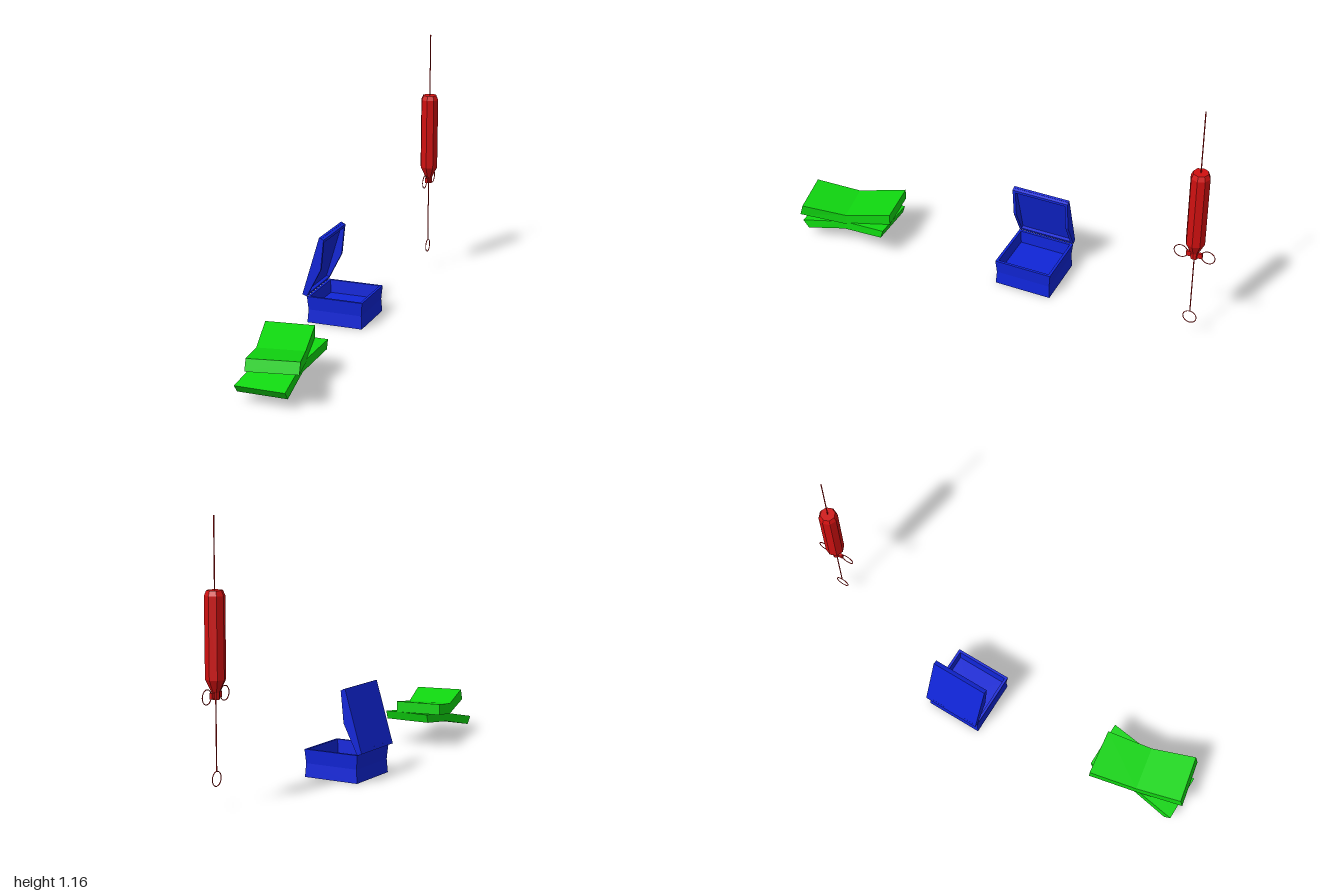
import * as THREE from 'three';

const paint = (color) => new THREE.MeshStandardMaterial({ color, flatShading: true, side: THREE.DoubleSide });
const red = paint(0xd01010), blue = paint(0x1025d8), green = paint(0x10d810);

function add(parent, name, geometry, material, x = 0, y = 0, z = 0) {
  const mesh = new THREE.Mesh(geometry, material);
  mesh.name = name;
  mesh.position.set(x, y, z);
  parent.add(mesh);
  return mesh;
}

function addGroup(parent, name) {
  const group = new THREE.Group();
  group.name = name;
  parent.add(group);
  return group;
}

// Bent slab: one cross-section each for back, middle and front
// top / bottom = height, left / right = [x, z], inset = z shift of the lower edge
function bentSlab(sections) {
  const geometry = new THREE.BoxGeometry(2, 2, 2, 1, 1, 2);
  const p = geometry.attributes.position;
  for (let i = 0; i < p.count; i++) {
    const s = sections[Math.round(p.getZ(i)) + 1];
    const [x, z] = p.getX(i) < 0 ? s.left : s.right;
    const upper = p.getY(i) > 0;
    p.setXYZ(i, x, upper ? s.top : s.bottom, upper ? z : z + (s.inset || 0));
  }
  geometry.computeVertexNormals();
  return geometry;
}

// Profile in x and y, extruded from z0 to z1
function prism(points, z0, z1) {
  const shape = new THREE.Shape(points.map(([x, y]) => new THREE.Vector2(x, y)));
  return new THREE.ExtrudeGeometry(shape, { depth: z1 - z0, bevelEnabled: false }).translate(0, 0, z0);
}

function createFloat() {
  const float = new THREE.Group();
  float.name = 'float';
  // Eight-sided body with a tapered neck and chamfered cap
  const profile = [[0, 0.44], [0.017, 0.44], [0.017, 0.468], [0.042, 0.52], [0.042, 0.85], [0.033, 0.871], [0, 0.871]]
    .map(([r, y]) => new THREE.Vector2(r, y));
  add(float, 'floatBody', new THREE.LatheGeometry(profile, 8), red);
  // Rod running through the body
  add(float, 'rod', new THREE.CylinderGeometry(0.0025, 0.0025, 1.01, 6), red, 0, 0.657, 0);
  add(float, 'crossBar', new THREE.BoxGeometry(0.012, 0.024, 0.07), red, 0, 0.457, 0);
  // Wire rings at the sides and below
  for (const [name, y, z] of [['frontRing', 0.457, 0.06], ['backRing', 0.457, -0.06], ['bottomRing', 0.121, 0]]) {
    add(float, name, new THREE.TorusGeometry(0.03, 0.002, 6, 20), red, 0, y, z).rotation.y = Math.PI / 2;
  }
  float.position.set(0.086, 0, -0.905);
  return float;
}

function createCase() {
  const box = new THREE.Group();
  box.name = 'openCase';
  // Hollow tray with a slight waist, as a four-sided lathe
  const profile = [[0, 0], [0.99, 0], [0.96, 0.06], [1, 0.122], [0.91, 0.122], [0.89, 0.062], [0, 0.062]]
    .map(([r, y]) => new THREE.Vector2(r * Math.SQRT2, y));
  add(box, 'tray', new THREE.LatheGeometry(profile, 4, Math.PI / 4), blue, -0.041, 0, -0.122).scale.set(0.131, 1, 0.133);

  // Raised lid: back plate, wedge-shaped cheeks and end lips
  const lid = addGroup(box, 'lid');
  const back = -0.255, front = 0.011, wall = 0.013;
  const outerLow = [-0.194, 0.13], outerTop = [-0.113, 0.402];
  const innerTop = [-0.092, 0.393], bend = [-0.106, 0.253], innerLow = [-0.173, 0.122];
  add(lid, 'lidPlate', prism([outerLow, [-0.184, 0.127], [-0.103, 0.399], outerTop], back, front), blue);
  const cheek = [outerLow, innerLow, bend, innerTop, outerTop];
  add(lid, 'backCheek', prism(cheek, back, back + wall), blue);
  add(lid, 'frontCheek', prism(cheek, front - wall, front), blue);
  add(lid, 'topLip', prism([outerTop, [-0.117, 0.388], [-0.093, 0.38], innerTop], back, front), blue);
  add(lid, 'hingeLip', prism([outerLow, innerLow, [-0.166, 0.136], [-0.19, 0.144]], back, front), blue);
  return box;
}

function createSlabs() {
  const slabs = new THREE.Group();
  slabs.name = 'crossedSlabs';
  add(slabs, 'upperSlab', bentSlab([
    { left: [-0.124, 0.573], right: [0.087, 0.545], top: 0.205, bottom: 0.155 },
    { left: [-0.069, 0.785], right: [0.131, 0.75], top: 0.172, bottom: 0.123 },
    { left: [-0.024, 0.985], right: [0.19, 0.942], top: 0.205, bottom: 0.155, inset: 0.014 },
  ]), green);
  add(slabs, 'lowerSlab', bentSlab([
    { left: [-0.07, 0.55], right: [0.146, 0.55], top: 0.154, bottom: 0.115, inset: 0.012 },
    { left: [-0.058, 0.765], right: [0.124, 0.765], top: 0.128, bottom: 0.088 },
    { left: [-0.08, 0.978], right: [0.138, 0.978], top: 0.08, bottom: 0.045, inset: -0.028 },
  ]), green);
  return slabs;
}

export function createModel() {
  const model = new THREE.Group();
  model.name = 'fishingSet';
  model.add(createFloat(), createCase(), createSlabs());
  return model;
}
